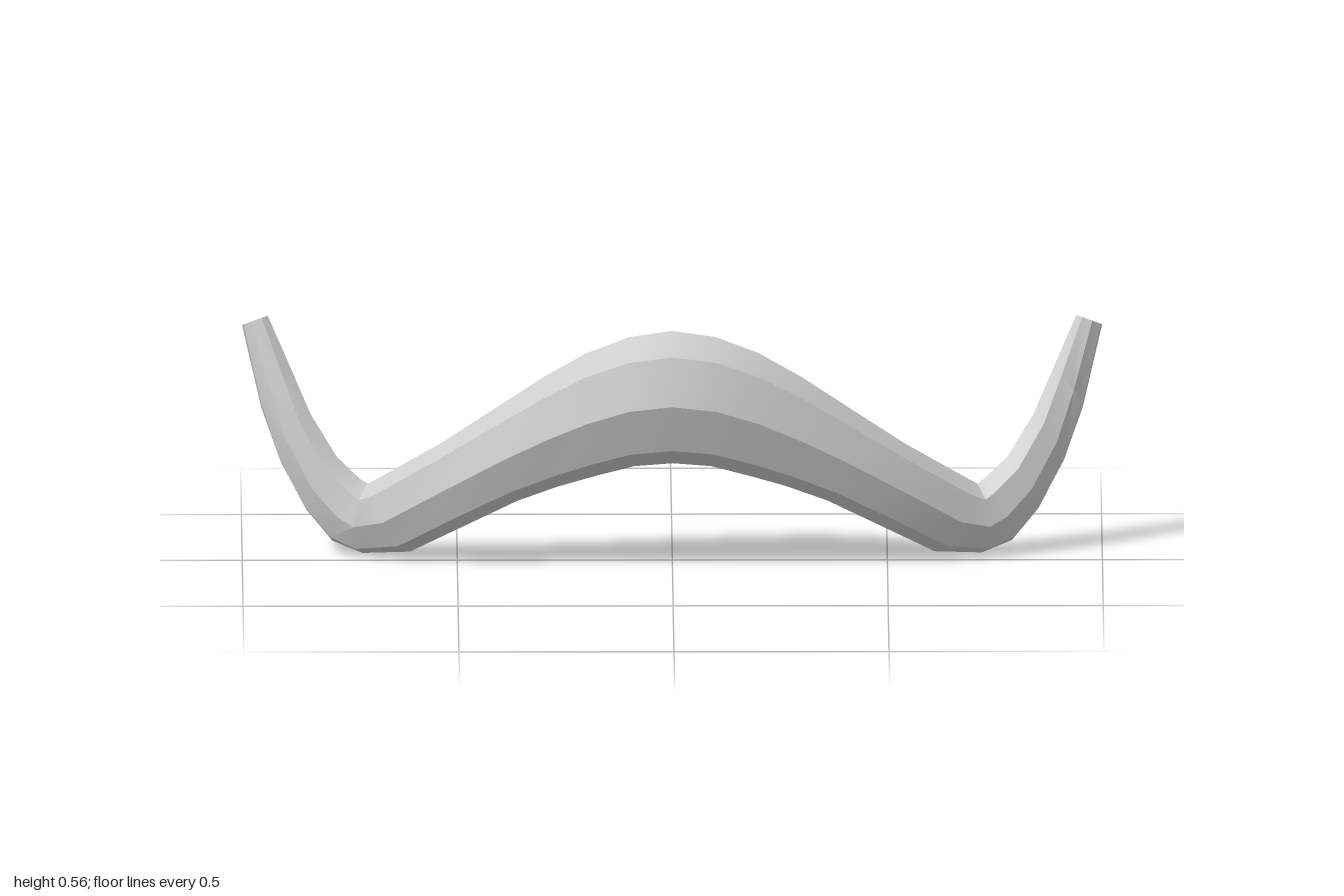
import * as THREE from 'three';
import { toCreasedNormals } from 'three/addons/utils/BufferGeometryUtils.js';

const SIDES = 8;

// Half of the bar, middle to tip: upper point, lower point, half depth
const HALF = [
  [0, 0.57, 0.09, 0, 0.255, 0.09, 0.112],
  [0.1, 0.555, 0.088, 0.09, 0.247, 0.086, 0.108],
  [0.2, 0.515, 0.08, 0.18, 0.222, 0.078, 0.101],
  [0.3, 0.455, 0.066, 0.265, 0.195, 0.066, 0.093],
  [0.4, 0.385, 0.048, 0.36, 0.158, 0.053, 0.085],
  [0.54, 0.285, 0.012, 0.48, 0.095, 0.03, 0.075],
  [0.69, 0.187, -0.045, 0.61, 0.02, -0.025, 0.064],
  [0.71, 0.175, -0.052, 0.72, 0.005, -0.08, 0.064],
  [0.725, 0.185, -0.06, 0.79, 0.03, -0.1, 0.06],
  [0.78, 0.235, -0.075, 0.85, 0.1, -0.118, 0.053],
  [0.84, 0.33, -0.1, 0.91, 0.21, -0.138, 0.045],
  [0.885, 0.43, -0.13, 0.955, 0.335, -0.152, 0.037],
  [0.94, 0.55, -0.17, 1.0, 0.525, -0.183, 0.027],
];

function barGeometry() {
  // Mirror the half so the sections run from -x to +x
  const mirrored = HALF.slice(1).reverse().map(([a, b, c, d, e, f, r]) => [-a, b, c, -d, e, f, r]);
  const sections = [...mirrored, ...HALF].map(([a, b, c, d, e, f, depth]) => {
    const top = new THREE.Vector3(a, b, c);
    const bottom = new THREE.Vector3(d, e, f);
    return {
      centre: top.clone().add(bottom).multiplyScalar(0.5),
      up: top.clone().sub(bottom).multiplyScalar(0.5),
      depth,
    };
  });
  const last = sections.length - 1;
  const positions = [];
  const index = [];

  // Eight-sided elliptical rings, square to the path
  sections.forEach(({ centre, up, depth }, i) => {
    const tangent = sections[Math.min(i + 1, last)].centre.clone()
      .sub(sections[Math.max(i - 1, 0)].centre);
    const forward = tangent.cross(up).normalize().multiplyScalar(depth);
    for (let k = 0; k < SIDES; k++) {
      const t = (k / SIDES) * Math.PI * 2;
      const p = centre.clone().addScaledVector(up, Math.cos(t)).addScaledVector(forward, Math.sin(t));
      positions.push(p.x, p.y, p.z);
    }
  });

  // Skin between neighbouring rings
  for (let i = 0; i < last; i++) {
    for (let k = 0; k < SIDES; k++) {
      const a = i * SIDES + k;
      const b = i * SIDES + (k + 1) % SIDES;
      index.push(a, b, a + SIDES, b, b + SIDES, a + SIDES);
    }
  }

  // Flat tips
  const end = last * SIDES;
  for (let k = 1; k < SIDES - 1; k++) {
    index.push(0, k + 1, k);
    index.push(end, end + k, end + k + 1);
  }

  const geometry = new THREE.BufferGeometry();
  geometry.setAttribute('position', new THREE.Float32BufferAttribute(positions, 3));
  geometry.setIndex(index);
  return toCreasedNormals(geometry, THREE.MathUtils.degToRad(30));
}

export function createModel() {
  const model = new THREE.Group();
  model.name = 'curvedBar';
  const bar = new THREE.Mesh(
    barGeometry(),
    new THREE.MeshStandardMaterial({ color: 0xcccccc })
  );
  bar.name = 'bar';
  model.add(bar);
  return model;
}
